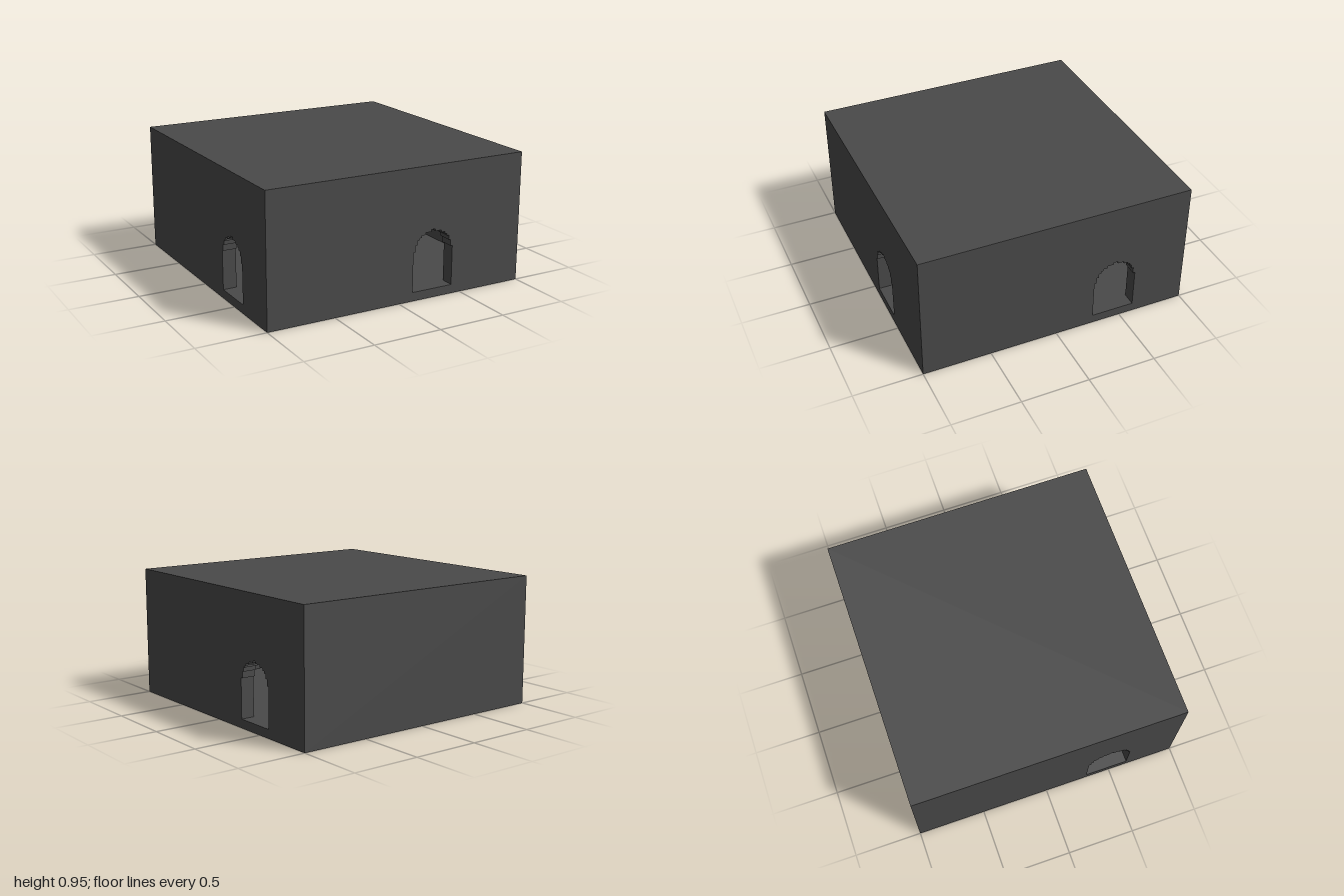
import * as THREE from 'three';

const HEIGHT = 0.95, WALL = 0.1, SLAB = 0.064;
const STEP = 0.016; // size of one stair in the stepped arch
// half arch as [half width, height above spring line], in steps
const ARCH = [[10, 1], [9, 4], [8, 6], [7, 7], [6, 8], [4, 9], [1, 10]];

// Stepped arch doorway outline, centred on cx, in wall coordinates
function doorway(cx) {
  const spring = 0.336 - HEIGHT / 2;
  const half = [[10 * STEP, SLAB - HEIGHT / 2]];
  ARCH.forEach(([w, h], i) => {
    if (i > 0) half.push([w * STEP, spring + ARCH[i - 1][1] * STEP]);
    half.push([w * STEP, spring + h * STEP]);
  });
  const right = half.map(([x, y]) => new THREE.Vector2(cx + x, y));
  const left = half.map(([x, y]) => new THREE.Vector2(cx - x, y)).reverse();
  return new THREE.Path([...right, ...left]);
}

// Panel facing +z with mitred edges, so six of them close into a hollow box
function panel(height, depth, insetY, doorX) {
  const h = height / 2;
  const shape = new THREE.Shape([[-1, -h], [1, -h], [1, h], [-1, h]].map(([x, y]) => new THREE.Vector2(x, y)));
  if (doorX !== undefined) shape.holes.push(doorway(doorX));
  const geo = new THREE.ExtrudeGeometry(shape, { depth, bevelEnabled: false });
  const p = geo.attributes.position;
  for (let i = 0; i < p.count; i++) {
    if (p.getZ(i) > 1e-4) continue;
    const x = p.getX(i), y = p.getY(i);
    if (Math.abs(x) > 1 - 1e-4) p.setX(i, Math.sign(x) * (1 - WALL));
    if (Math.abs(y) > h - 1e-4) p.setY(i, Math.sign(y) * (h - insetY));
  }
  geo.computeVertexNormals();
  return geo.translate(0, 0, -depth);
}

export function createModel() {
  const group = new THREE.Group();
  const stone = new THREE.MeshStandardMaterial({ color: 0x4a4a4a });
  stone.name = 'darkStone';

  const add = (name, geo) => {
    const mesh = new THREE.Mesh(geo, stone);
    mesh.name = name;
    group.add(mesh);
    return mesh;
  };

  // Four walls, three of them with an arched doorway
  const walls = [
    ['frontWall', 0, 0.27],
    ['leftWall', Math.PI / 2, 0.445],
    ['backWall', Math.PI, undefined],
    ['rightWall', -Math.PI / 2, 0.478],
  ];
  for (const [name, angle, doorX] of walls) {
    const wall = add(name, panel(HEIGHT, WALL, SLAB, doorX));
    wall.rotation.y = angle;
    wall.position.set(Math.sin(angle), HEIGHT / 2, Math.cos(angle));
  }

  // Roof and floor slabs
  const roof = add('roof', panel(2, SLAB, WALL));
  roof.rotation.x = -Math.PI / 2;
  roof.position.y = HEIGHT;
  const floor = add('floor', panel(2, SLAB, WALL));
  floor.rotation.x = Math.PI / 2;

  return group;
}
